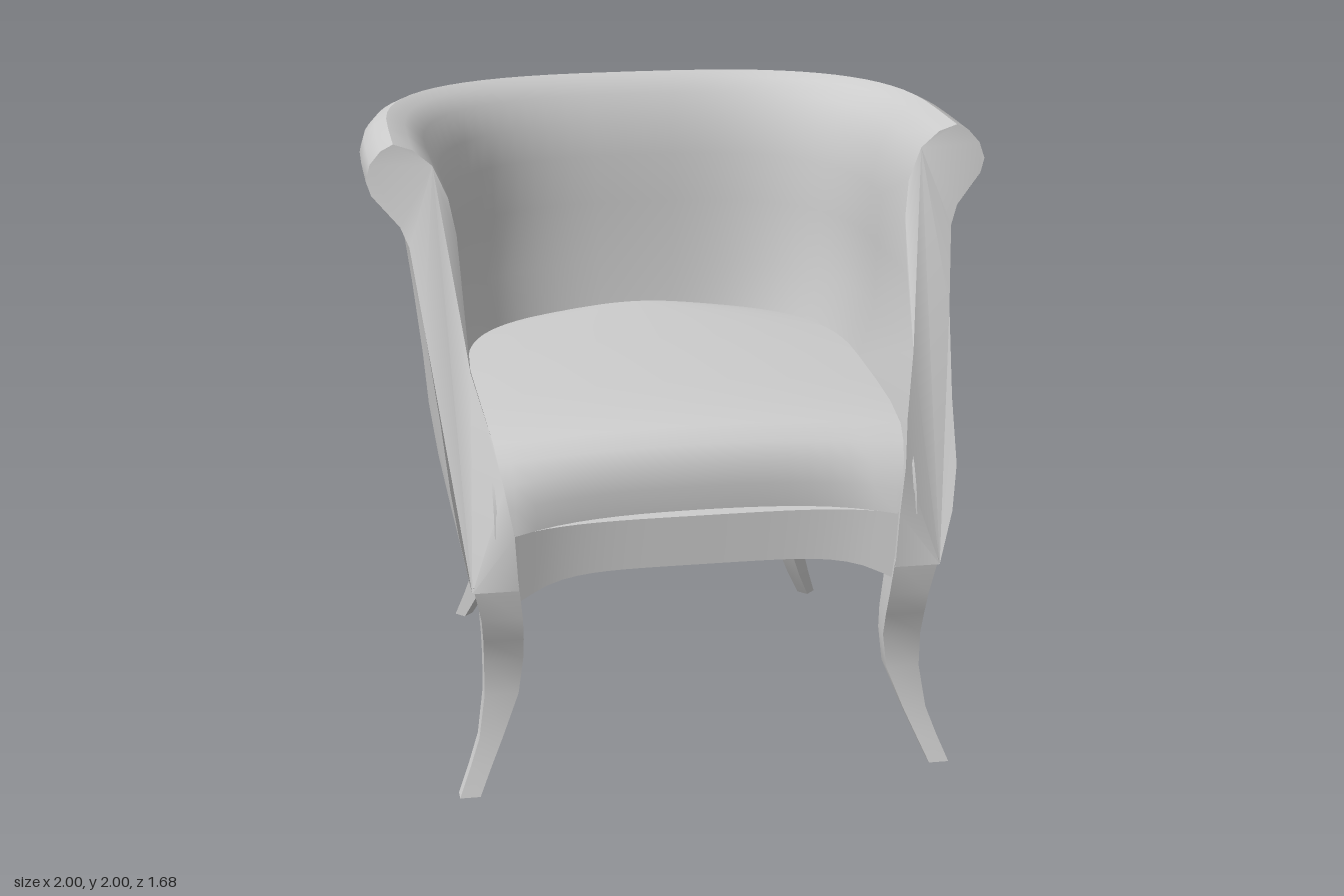
import * as THREE from 'three';
import { toCreasedNormals } from 'three/addons/utils/BufferGeometryUtils.js';

const material = new THREE.MeshStandardMaterial({ color: 0xcccccc });

// Skin between cross-section rings; caps are triangle index triples of one ring
function loft(name, rings, { closed = true, caps = [], crease = 0.7 } = {}) {
  const pos = [];
  const tri = (a, b, c) => pos.push(...a, ...b, ...c);
  const n = rings[0].length;
  for (let i = 0; i < rings.length - 1; i++) {
    for (let j = 0; j < (closed ? n : n - 1); j++) {
      const k = (j + 1) % n;
      const [a, b, c, d] = [rings[i][j], rings[i + 1][j], rings[i + 1][k], rings[i][k]];
      tri(a, b, c);
      tri(a, c, d);
    }
  }
  const last = rings[rings.length - 1];
  for (const [a, b, c] of caps) {
    tri(rings[0][a], rings[0][b], rings[0][c]);
    tri(last[a], last[c], last[b]);
  }
  const geometry = new THREE.BufferGeometry();
  geometry.setAttribute('position', new THREE.Float32BufferAttribute(pos, 3));
  const mesh = new THREE.Mesh(toCreasedNormals(geometry, crease), material);
  mesh.name = name;
  return mesh;
}
const QUAD = [[0, 1, 2], [0, 2, 3]];
const mirrorX = rings => rings.map(r => r.map(([x, y, z]) => [-x, y, z]).reverse());

// Piecewise linear lookup in [key, value] pairs with rising keys
function lookup(table, key) {
  for (let i = 1; i < table.length; i++) {
    const [k0, v0] = table[i - 1], [k1, v1] = table[i];
    if (key <= k1) return v0 + (v1 - v0) * Math.max(0, (key - k0) / (k1 - k0));
  }
  return table[table.length - 1][1];
}

// U-shaped plan: straight sides ahead of ZC, a squarish half ellipse behind
const ZC = 0.05, POWER = 2 / 2.8, STEPS = 32;
function plan(a, back, front) {
  const pts = [];
  for (let i = 0; i <= STEPS; i++) {
    const t = Math.PI * i / STEPS, c = Math.cos(t), s = Math.max(0, Math.sin(t));
    pts.push([a * Math.sign(c) * Math.abs(c) ** POWER, ZC - (ZC - back) * s ** POWER]);
  }
  return [[a, front], ...pts, [-a, front]];
}

// Shell section: half width, back z, height; up the outside, over the roll, down the inside
const SHELL = [
  [0.745, -0.70, 0.70], [0.78, -0.70, 0.88], [0.80, -0.72, 1.02], [0.815, -0.735, 1.2],
  [0.843, -0.757, 1.45], [0.875, -0.78, 1.69], [0.90, -0.795, 1.75], [0.955, -0.82, 1.81],
  [0.985, -0.835, 1.845], [1, -0.84, 1.89], [0.985, -0.825, 1.94], [0.95, -0.80, 1.98],
  [0.91, -0.77, 2.0], [0.85, -0.745, 1.98], [0.79, -0.715, 1.93], [0.745, -0.68, 1.83],
  [0.725, -0.665, 1.72], [0.715, -0.66, 1.55], [0.71, -0.65, 1.33], [0.66, -0.63, 1.15],
  [0.635, -0.615, 1.02], [0.61, -0.60, 0.88], [0.60, -0.59, 0.70],
];
// Sloping front edge of the arms: height, z
const ARM_FRONT = [
  [0.7, 0.84], [0.88, 0.84], [1.02, 0.80], [1.15, 0.71], [1.29, 0.595], [1.45, 0.505],
  [1.6, 0.42], [1.72, 0.365], [1.83, 0.32], [1.93, 0.295], [2, 0.285],
];

function shell() {
  const paths = SHELL.map(([a, back, y]) => plan(a, back, lookup(ARM_FRONT, y)));
  const rings = paths[0].map((_, i) => SHELL.map((p, j) => [paths[j][i][0], p[2], paths[j][i][1]]));
  const contour = SHELL.map(([a, , y]) => new THREE.Vector2(a, y));
  return loft('curvedBackAndArms', rings, { caps: THREE.ShapeUtils.triangulateShape(contour, []) });
}

// Front of seat and apron curves forward towards the arms
const bulge = x => 0.075 * Math.min(1, Math.abs(x) / 0.6) ** 4;

function seat() {
  // z, height, amount of forward curve
  const rows = [
    [0.75, 0.87, 1], [0.755, 0.95, 0.7], [0.745, 1.02, 0.35], [0.715, 1.075, 0.1],
    [0.65, 1.115, 0], [0.5, 1.14, 0], [0.3, 1.15, 0], [ZC, 1.155, 0],
  ];
  const ring = (z, y, curve, half) => {
    const pts = [];
    for (let j = 0; j <= 20; j++) {
      const u = 1 - j / 10;
      pts.push([u * half, y + 0.03 * (1 - u * u), z + curve * bulge(u * half)]);
    }
    return pts;
  };
  const rings = rows.map(([z, y, c]) => ring(z, y, c, 0.67));
  for (const [x, z] of plan(0.67, -0.66, 0).slice(2, STEPS / 2 + 2)) {
    rings.push(ring(z, 1.157, 0, Math.max(x, 0.001)));
  }
  return loft('seatCushion', rings, { closed: false });
}

function apron() {
  const rings = [];
  for (let i = 0; i <= 24; i++) {
    const x = -0.61 + 1.22 * i / 24;
    const z = 0.75 + bulge(x);
    const bottom = 0.715 - 0.065 * Math.min(1, Math.abs(x) / 0.6) ** 6;
    rings.push([[x, bottom, z], [x, 0.88, z], [x, 0.88, z - 0.06], [x, bottom, z - 0.06]]);
  }
  return loft('frontApron', rings, { caps: QUAD });
}

function seatBase() {
  const outline = plan(0.63, -0.62, 0.77).map(([x, z]) => new THREE.Vector2(x, z));
  const geometry = new THREE.ShapeGeometry(new THREE.Shape(outline));
  geometry.rotateX(Math.PI / 2);
  geometry.translate(0, 0.78, 0);
  const mesh = new THREE.Mesh(geometry, material);
  mesh.name = 'seatUnderside';
  return mesh;
}

// Front leg: height, inner x, outer x, back z, front z
const FRONT_LEG = [
  [0.72, 0.60, 0.742, 0.735, 0.838], [0.6, 0.588, 0.717, 0.73, 0.825],
  [0.52, 0.584, 0.711, 0.715, 0.80], [0.44, 0.584, 0.708, 0.707, 0.772],
  [0.32, 0.60, 0.708, 0.70, 0.765], [0.18, 0.655, 0.73, 0.735, 0.785],
  [0.09, 0.695, 0.763, 0.763, 0.807], [0, 0.735, 0.80, 0.79, 0.835],
];
// Back leg, set on the diagonal: height, inner radius, outer radius, half width
const BACK_LEG = [
  [0.72, 0.63, 0.76, 0.04], [0.5, 0.665, 0.775, 0.037], [0.35, 0.71, 0.80, 0.034],
  [0.2, 0.78, 0.85, 0.03], [0.1, 0.835, 0.895, 0.026], [0, 0.90, 0.945, 0.022],
];

function legs() {
  const group = new THREE.Group();
  group.name = 'legs';
  const front = FRONT_LEG.map(([y, x0, x1, z0, z1]) =>
    [[x0, y, z1], [x1, y, z1], [x1, y, z0], [x0, y, z0]]);
  const q = Math.SQRT1_2;
  const back = BACK_LEG.map(([y, r0, r1, w]) =>
    [[r1, -w], [r1, w], [r0, w], [r0, -w]].map(([r, t]) => [q * (r - t), y, -q * (r + t)]));
  group.add(
    loft('frontLegLeft', front, { caps: QUAD }),
    loft('frontLegRight', mirrorX(front), { caps: QUAD }),
    loft('backLegLeft', back, { caps: QUAD }),
    loft('backLegRight', mirrorX(back), { caps: QUAD }),
  );
  return group;
}

export function createModel() {
  const chair = new THREE.Group();
  chair.name = 'tubArmchair';
  chair.add(shell(), seat(), apron(), seatBase(), legs());
  return chair;
}
